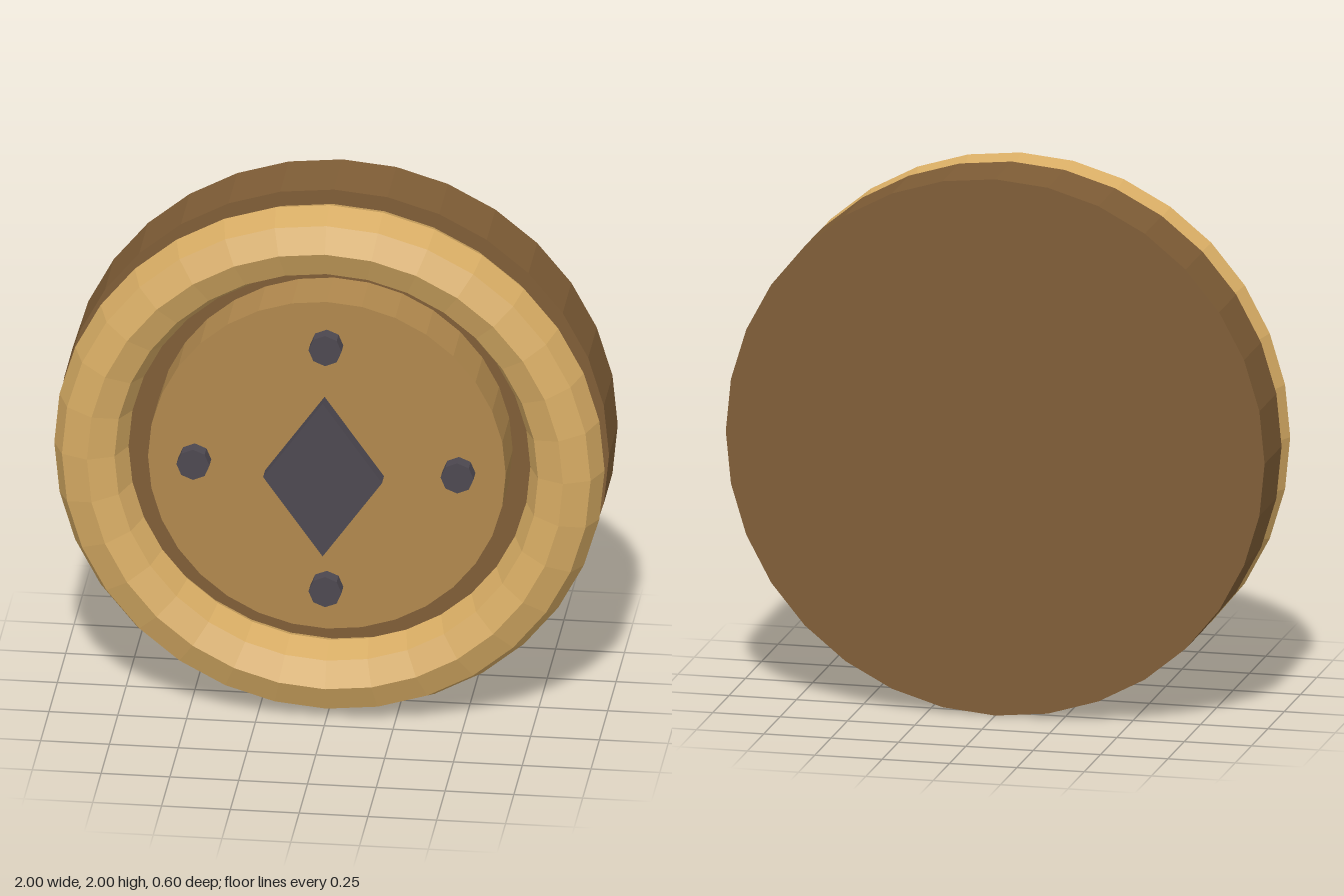
import * as THREE from 'three';

const paint = (name, color) => {
  const m = new THREE.MeshStandardMaterial({ color, flatShading: true });
  m.name = name;
  return m;
};

export function createModel() {
  const model = new THREE.Group();
  model.name = 'roundShield';
  const darkWood = paint('darkWood', 0x7f5d36);
  const wood = paint('wood', 0xb0884d);
  const brass = paint('brass', 0xd6ab63);
  const iron = paint('iron', 0x4d4850);

  const add = (name, geometry, material, x = 0, y = 1, z = 0) => {
    const mesh = new THREE.Mesh(geometry, material);
    mesh.name = name;
    mesh.position.set(x, y, z);
    model.add(mesh);
  };

  // Cylinder along z, spanning z0 to z1
  const disc = (name, radius, z0, z1, sides, material, x, y) =>
    add(name, new THREE.CylinderGeometry(radius, radius, z1 - z0, sides).rotateX(Math.PI / 2),
      material, x, y, (z0 + z1) / 2);

  // Backing and raised inner plate
  disc('backing', 1, -0.3, -0.04, 32, darkWood);
  disc('innerPlate', 0.65, -0.04, 0.17, 32, wood);

  // Faceted rim
  add('rim', new THREE.TorusGeometry(0.865, 0.135, 8, 32), brass, 0, 1, 0.093);

  // Four studs around the centre
  for (let i = 0; i < 4; i++) {
    const a = (i * Math.PI) / 2;
    disc('stud', 0.06, 0.16, 0.225, 8, iron, 0.48 * Math.cos(a), 1 + 0.48 * Math.sin(a));
  }

  // Diamond emblem standing just in front of the plate
  const shape = new THREE.Shape();
  shape.moveTo(0.216, 0);
  shape.lineTo(0, 0.304);
  shape.lineTo(-0.216, 0);
  shape.lineTo(0, -0.304);
  shape.closePath();
  add('diamond', new THREE.ExtrudeGeometry(shape, { depth: 0.06, bevelEnabled: false }), iron, 0, 1, 0.238);

  return model;
}
